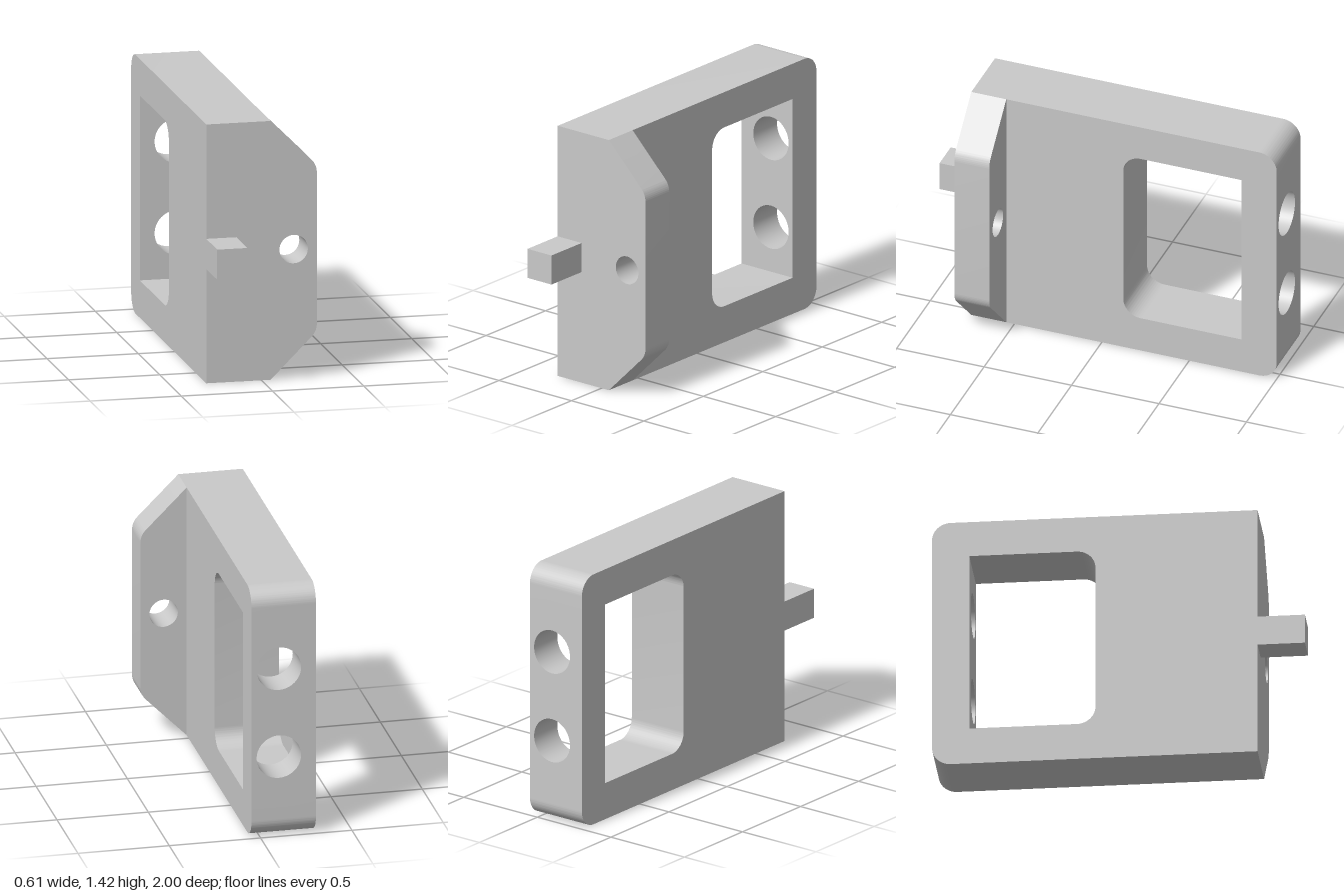
import * as THREE from 'three';
import { toCreasedNormals } from 'three/addons/utils/BufferGeometryUtils.js';

const LEFT = 0.05, RIGHT = -0.303;      // plate faces in x
const HEIGHT = 1.42, MID = HEIGHT / 2;
const FRONT = 0.746, BACK = -1;         // plate ends in z
const WIN = { back: -0.8, front: -0.123, low: 0.205, high: 1.22 };
const R = 0.1;                          // fillet radius

const grey = new THREE.MeshStandardMaterial({ color: 0xc9c9c9 });
grey.name = 'grey';

function extrude(shape, depth) {
  return new THREE.ExtrudeGeometry(shape, { depth, bevelEnabled: false, curveSegments: 20 });
}

function part(name, geometry) {
  const mesh = new THREE.Mesh(toCreasedNormals(geometry, 0.5), grey);
  mesh.name = name;
  return mesh;
}

function roundHole(x, y, r) {
  const hole = new THREE.Path();
  hole.absarc(x, y, r, 0, Math.PI * 2, true);
  return hole;
}

// Side profile with the window open to the back, extruded across x
function plateGeometry() {
  const s = new THREE.Shape();           // shape x is -z
  const q = Math.PI / 2;
  s.moveTo(-FRONT, HEIGHT);
  s.lineTo(-FRONT, 0);
  s.absarc(-BACK - R, R, R, -q, 0, false);
  s.lineTo(-BACK, WIN.low);
  s.absarc(-WIN.front + R, WIN.low + R, R, -q, -2 * q, true);
  s.absarc(-WIN.front + R, WIN.high - R, R, 2 * q, q, true);
  s.lineTo(-BACK, WIN.high);
  s.absarc(-BACK - R, HEIGHT - R, R, 0, q, false);
  s.closePath();
  return extrude(s, LEFT - RIGHT).rotateY(Math.PI / 2).translate(RIGHT, 0, 0);
}

// Bar closing the back of the window, drilled twice
function barGeometry() {
  const s = new THREE.Shape();
  s.moveTo(RIGHT, WIN.low);
  s.lineTo(LEFT, WIN.low);
  s.lineTo(LEFT, WIN.high);
  s.lineTo(RIGHT, WIN.high);
  s.closePath();
  for (const side of [-1, 1]) s.holes.push(roundHole(-0.1, MID + side * 0.252, 0.122));
  return extrude(s, WIN.back - BACK).translate(0, 0, BACK);
}

// Side flange with sloping ends, rounded corners and one hole
function flangeGeometry() {
  const outer = 0.303, slope = outer - LEFT;
  const arcY = slope + R * Math.tan(Math.PI / 8);
  const s = new THREE.Shape();
  s.moveTo(LEFT, HEIGHT);
  s.lineTo(LEFT, 0);
  s.absarc(outer - R, arcY, R, -Math.PI / 4, 0, false);
  s.absarc(outer - R, HEIGHT - arcY, R, 0, Math.PI / 4, false);
  s.closePath();
  s.holes.push(roundHole(0.176, MID, 0.078));
  return extrude(s, 0.2).translate(0, 0, FRONT - 0.2);
}

export function createModel() {
  const model = new THREE.Group();
  model.name = 'bracket';

  // Square peg on the front face
  const size = 0.165;
  const peg = new THREE.BoxGeometry(size, size, 1 - FRONT)
    .translate(RIGHT + size / 2, MID, (1 + FRONT) / 2);

  model.add(
    part('plate', plateGeometry()),
    part('drilledBar', barGeometry()),
    part('flange', flangeGeometry()),
    part('peg', peg)
  );
  return model;
}
